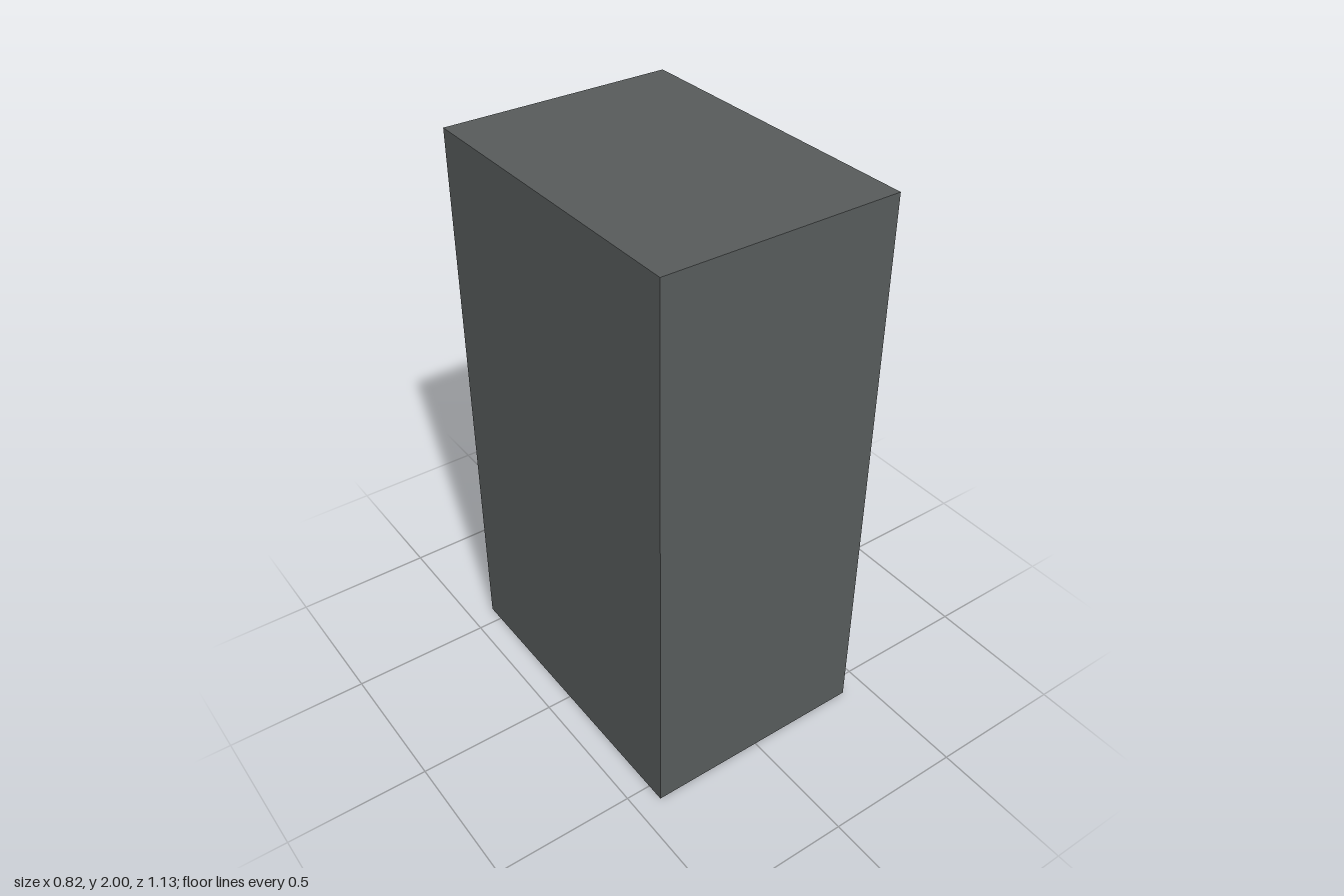
import * as THREE from 'three';

export function createModel() {
  const concrete = new THREE.MeshStandardMaterial({ color: 0x575b5b });
  concrete.name = 'grey concrete';
  const shutter = new THREE.MeshStandardMaterial({ color: 0x643f31 });
  shutter.name = 'brown shutter';
  const model = new THREE.Group();
  model.name = 'building';

  // Box given by its low and high limits on each axis
  function block(name, x0, x1, y0, y1, z0, z1, material = concrete, parent = model) {
    const mesh = new THREE.Mesh(new THREE.BoxGeometry(x1 - x0, y1 - y0, z1 - z0), material);
    mesh.position.set((x0 + x1) / 2, (y0 + y1) / 2, (z0 + z1) / 2);
    mesh.name = name;
    parent.add(mesh);
    return mesh;
  }

  let seed = 7;
  const random = () => (seed = (seed * 16807) % 2147483647) / 2147483647;

  const W = 0.41, D = 0.565, core = 0.1, wall = 0.38;
  const bays = [[0.21, 0.535], [-0.18, 0.18], [-0.53, -0.205]];
  const floors = [[0.35, 0.475], [0.6, 0.74], [0.88, 1.02], [1.15, 1.29], [1.42, 1.56], [1.69, 1.835]];

  // Main shell, open towards the +x facade
  block('core', -W, core, 0, 2, -D, D);
  block('leftEndWall', -W, W, 0, 2, 0.535, D);
  block('rightEndWall', -W, W, 0, 2, -D, -0.53);
  block('roof', -W, W, 1.97, 2, -D, D);
  block('groundSlab', -W, wall, 0, 0.004, -D, D);

  // Columns and the partitions behind them
  for (const [z0, z1] of [[0.18, 0.21], [-0.205, -0.18]]) {
    block('column', wall, W, 0, 2, z0, z1);
    block('partition', core, 0.365, 0, 1.97, z0, z1);
    block('pierBacking', 0.365, wall, 0.28, 1.97, z0, z1);
  }

  // Solid bands between the window rows
  for (let i = 0; i <= floors.length; i++) {
    const low = i === 0 ? 0.28 : floors[i - 1][1];
    const high = i === floors.length ? 1.97 : floors[i][0];
    block('spandrel', core, wall, low, high, -0.53, 0.535);
  }
  block('firstFloorBeam', wall, W, 0.295, 0.335, -0.53, 0.535);

  // Windows with ledges, glazing bars and shallow or deep rooms
  floors.forEach(([y0, y1], row) => bays.forEach(([z0, z1], bay) => {
    const window = new THREE.Group();
    window.name = 'window';
    model.add(window);
    const deep = row === 5 && bay !== 1;
    if (!deep) {
      const back = 0.33 - 0.05 * random();
      block('windowBack', core, back, y0, y1, z0, z1, concrete, window);
    }
    block('sill', wall - 0.02, 0.4, y0 - 0.012, y0, z0, z1, concrete, window);
    block('lintel', wall - 0.02, 0.4, y1 - 0.006, y1 + 0.004, z0, z1, concrete, window);

    // Uneven vertical bars
    const count = 4, step = (z1 - z0) / (count + 1);
    for (let i = 1; i <= count; i++) {
      const z = z0 + step * (i + 0.4 * (random() - 0.5));
      const bottom = y0 + 0.03 * random();
      block('glazingBar', 0.362, 0.37, bottom, y1, z - 0.003, z + 0.003, concrete, window);
    }
    // Transom covering part of the width
    const mid = y0 + (y1 - y0) * (0.4 + 0.2 * random());
    const start = z0 + step * random();
    block('transom', 0.362, 0.37, mid - 0.003, mid + 0.003, start, start + step * 3.5, concrete, window);
  }));

  // Ground floor: one open bay and two shuttered bays
  block('shutterPanel', 0.365, 0.373, 0.004, 0.28, -0.53, 0.21, shutter);
  for (const [z0, z1] of bays) block('groundLintel', wall - 0.02, 0.39, 0.28, 0.295, z0, z1);

  return model;
}
